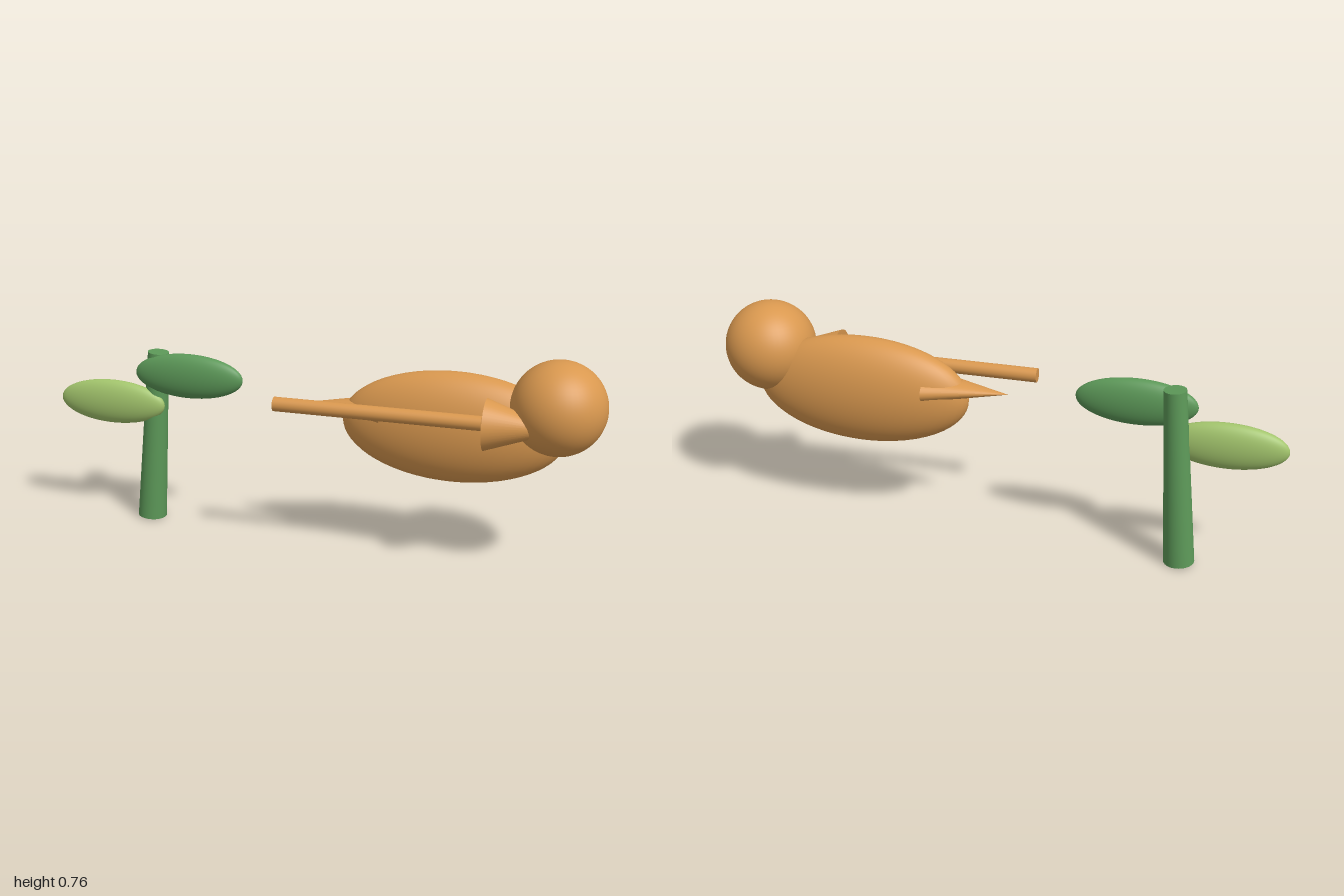
import * as THREE from 'three';

const material = (name, color) => {
  const m = new THREE.MeshStandardMaterial({ color });
  m.name = name;
  return m;
};

export function createModel() {
  const group = new THREE.Group();
  const orange = material('warm orange', 0xd9984f);
  const green = material('leaf green', 0x5c9858);
  const lightGreen = material('light leaf green', 0xa2c46c);

  const add = (name, geometry, mat, position) => {
    const mesh = new THREE.Mesh(geometry, mat);
    mesh.name = name;
    mesh.position.set(...position);
    group.add(mesh);
    return mesh;
  };
  const ellipsoid = (name, mat, position, radii) =>
    add(name, new THREE.SphereGeometry(1, 48, 32), mat, position).scale.set(...radii);

  // Bird: body and head
  ellipsoid('body', orange, [0.482, 0.488, -0.047], [0.387, 0.195, 0.107]);
  ellipsoid('head', orange, [0.838, 0.6, -0.01], [0.16, 0.16, 0.16]);

  // Flattened tail cone, tip towards -x
  const tail = new THREE.ConeGeometry(1, 0.287, 40).rotateZ(Math.PI / 2).scale(1, 0.047, 0.094);
  add('tail', tail, orange, [0.0985, 0.527, -0.047]);

  // Cone beside the head, tip buried in it
  const cone = new THREE.ConeGeometry(0.087, 0.25, 40).rotateZ(-Math.PI / 2);
  add('sideCone', cone, orange, [0.738, 0.552, 0.083]);

  // Long rod in front of the body
  const rod = new THREE.CylinderGeometry(0.025, 0.025, 0.717, 32).rotateZ(Math.PI / 2);
  add('rod', rod, orange, [0.2425, 0.553, 0.08]);

  // Leaning, tapered stem
  const foot = new THREE.Vector3(-0.668, 0.004, -0.107);
  const top = new THREE.Vector3(-0.62, 0.644, -0.112);
  const axis = top.clone().sub(foot);
  const stem = add('stem', new THREE.CylinderGeometry(0.038, 0.053, axis.length(), 40), green,
    foot.clone().add(top).multiplyScalar(0.5).toArray());
  stem.quaternion.setFromUnitVectors(new THREE.Vector3(0, 1, 0), axis.normalize());

  // Leaves
  ellipsoid('upperLeaf', green, [-0.491, 0.572, -0.08], [0.205, 0.082, 0.041]);
  ellipsoid('lowerLeaf', lightGreen, [-0.795, 0.45, -0.08], [0.205, 0.082, 0.041]);

  return group;
}
